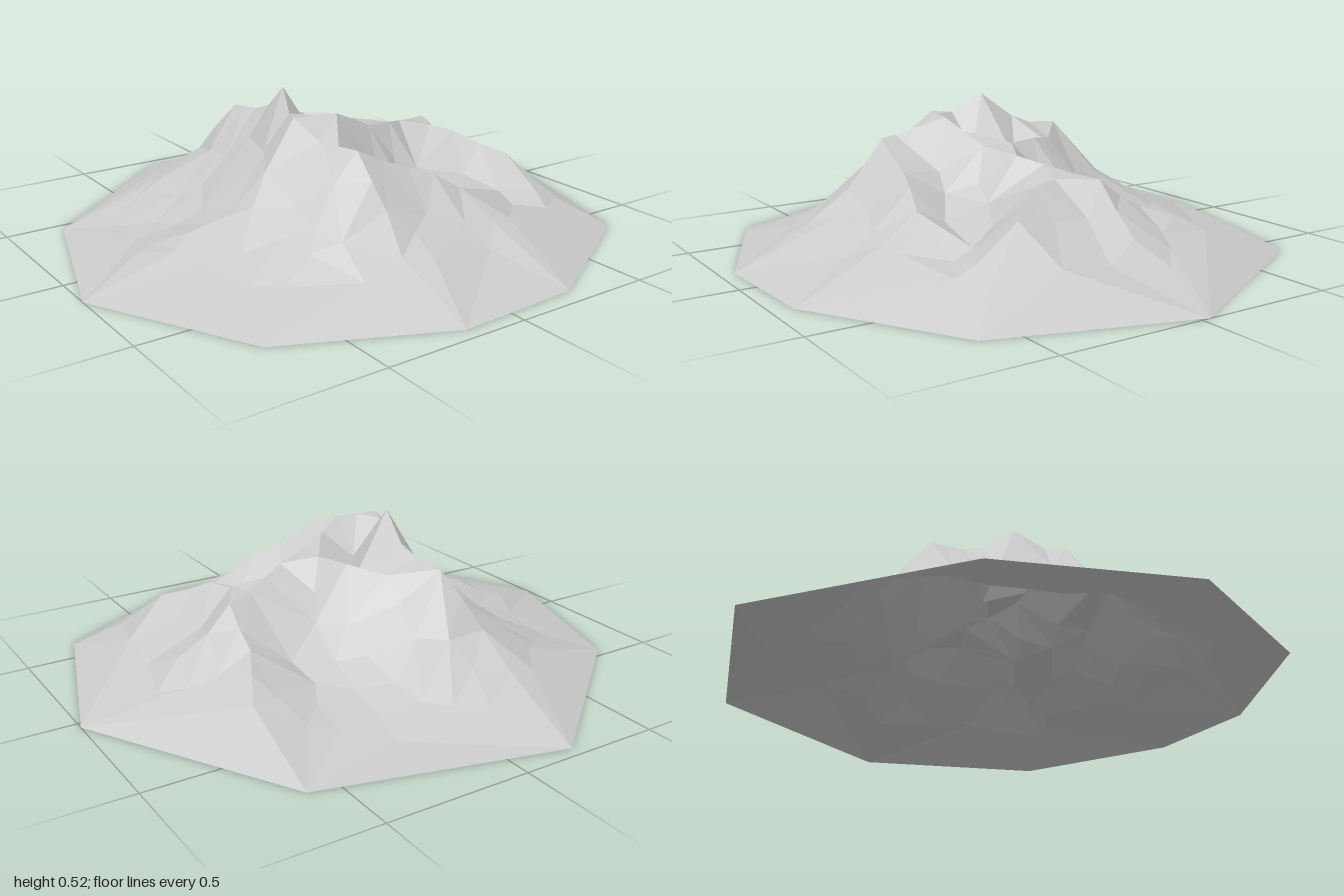
import * as THREE from 'three';
import { ConvexGeometry } from 'three/addons/geometries/ConvexGeometry.js';

// Outline of the foot of the mountain (x, z)
const RIM = [[-0.03, -1], [0.62, -0.79], [0.93, -0.26], [0.95, 0.18], [0.71, 0.71],
  [0.15, 1], [-0.46, 0.81], [-0.96, 0.21], [-0.75, -0.6]];

// Crest lines (x, y, z)
const CRESTS = [
  // front ridge with the summit
  [[-0.46, 0.2, 0.26], [-0.32, 0.39, 0.18], [-0.2, 0.4, 0.17], [-0.12, 0.43, 0.16], [0, 0.52, 0.18],
    [0.1, 0.455, 0.22], [0.17, 0.46, 0.25], [0.28, 0.4, 0.22], [0.41, 0.395, 0.17], [0.55, 0.22, 0.16]],
  // saddle running back to the rear hill
  [[0.17, 0.46, 0.25], [0.2, 0.46, 0.1], [0.15, 0.38, -0.07], [0.1, 0.36, -0.2], [0, 0.32, -0.37],
    [-0.04, 0.31, -0.47], [-0.2, 0.21, -0.48], [-0.4, 0.12, -0.58]],
  // rear edge of the plateau behind the summit
  [[0.15, 0.37, -0.07], [0.04, 0.38, -0.08], [-0.08, 0.38, -0.04], [-0.2, 0.36, 0.04], [-0.32, 0.39, 0.18]],
  // spurs to the rear and the side
  [[0, 0.32, -0.37], [0.18, 0.31, -0.43], [0.33, 0.24, -0.55]],
  [[0.41, 0.395, 0.17], [0.43, 0.3, -0.02], [0.48, 0.23, -0.2]],
  // apron under the front cliff
  [[0.15, 0.19, 0.47], [0.12, 0.13, 0.62]],
];

// Repeatable pseudo-random value between -0.5 and 0.5
function noise(a, b) {
  const s = Math.sin(a * 127.1 + b * 311.7) * 43758.5453;
  return s - Math.floor(s) - 0.5;
}

// 0 at the centre, 1 on the rim
function rimFraction(x, z) {
  let f = 0;
  RIM.forEach(([ax, az], i) => {
    const [bx, bz] = RIM[(i + 1) % RIM.length];
    const nx = bz - az, nz = ax - bx;
    f = Math.max(f, (x * nx + z * nz) / (ax * nx + az * nz));
  });
  return f;
}

// Slopes fall away from the nearest crest and die out at the rim
function height(x, z) {
  let h = 0;
  for (const line of CRESTS) {
    for (let i = 0; i + 1 < line.length; i++) {
      const [ax, ay, az] = line[i], [bx, by, bz] = line[i + 1];
      const dx = bx - ax, dz = bz - az;
      const t = THREE.MathUtils.clamp(((x - ax) * dx + (z - az) * dz) / (dx * dx + dz * dz), 0, 1);
      const d = Math.hypot(x - ax - t * dx, z - az - t * dz);
      h = Math.max(h, (ay + (by - ay) * t) * Math.exp(-((d / 0.25) ** 1.15)));
    }
  }
  return h * THREE.MathUtils.clamp((1 - rimFraction(x, z)) / 0.22, 0, 1);
}

// Scattered ground points: rim, crests, and a jittered triangular grid between
function groundPoints() {
  const points = RIM.map(([x, z]) => [x, z]);
  const far = (x, z, gap) => points.every(([px, pz]) => Math.hypot(px - x, pz - z) > gap);
  for (const [x, , z] of CRESTS.flat()) if (far(x, z, 0.01)) points.push([x, z]);
  // midpoints keep the longer crest spans unbroken
  for (const line of CRESTS) {
    for (let i = 0; i + 1 < line.length; i++) {
      const x = (line[i][0] + line[i + 1][0]) / 2, z = (line[i][2] + line[i + 1][2]) / 2;
      if (far(x, z, 0.06)) points.push([x, z]);
    }
  }
  const step = 0.13;
  for (let j = -8; j <= 8; j++) {
    for (let i = -8; i <= 8; i++) {
      const x = (i + (j & 1) / 2 + noise(i, j) * 0.6) * step;
      const z = (j * 0.87 + noise(j + 20, i) * 0.6) * step;
      if (rimFraction(x, z) < 0.83 && far(x, z, 0.07)) points.push([x, z]);
    }
  }
  return points;
}

// The underside of the hull of points lifted to a bowl gives an even triangulation
function mountainGeometry() {
  const lifted = groundPoints().map(([x, z]) => new THREE.Vector3(x, x * x + z * z, z));
  const hull = new ConvexGeometry(lifted).getAttribute('position');
  const positions = [];
  const corners = [0, 1, 2].map(() => new THREE.Vector3());
  for (let i = 0; i < hull.count; i += 3) {
    corners.forEach((c, k) => c.fromBufferAttribute(hull, i + k));
    const [a, b, c] = corners;
    const facing = (b.z - a.z) * (c.x - a.x) - (b.x - a.x) * (c.z - a.z);
    if (facing >= -1e-7) continue;
    for (const p of [a, c, b]) {
      const h = height(p.x, p.z);
      positions.push(p.x, h * (1 + (h < 0.3 ? 0.12 * noise(p.x, p.z) : 0)), p.z);
    }
  }
  const geometry = new THREE.BufferGeometry();
  geometry.setAttribute('position', new THREE.Float32BufferAttribute(positions, 3));
  geometry.computeVertexNormals();
  return geometry;
}

export function createModel() {
  const group = new THREE.Group();
  group.name = 'mountain';
  const rock = new THREE.MeshStandardMaterial({
    color: 0xcccccc, flatShading: true, side: THREE.DoubleSide,
  });
  const slopes = new THREE.Mesh(mountainGeometry(), rock);
  slopes.name = 'rockySlopes';
  group.add(slopes);
  return group;
}
